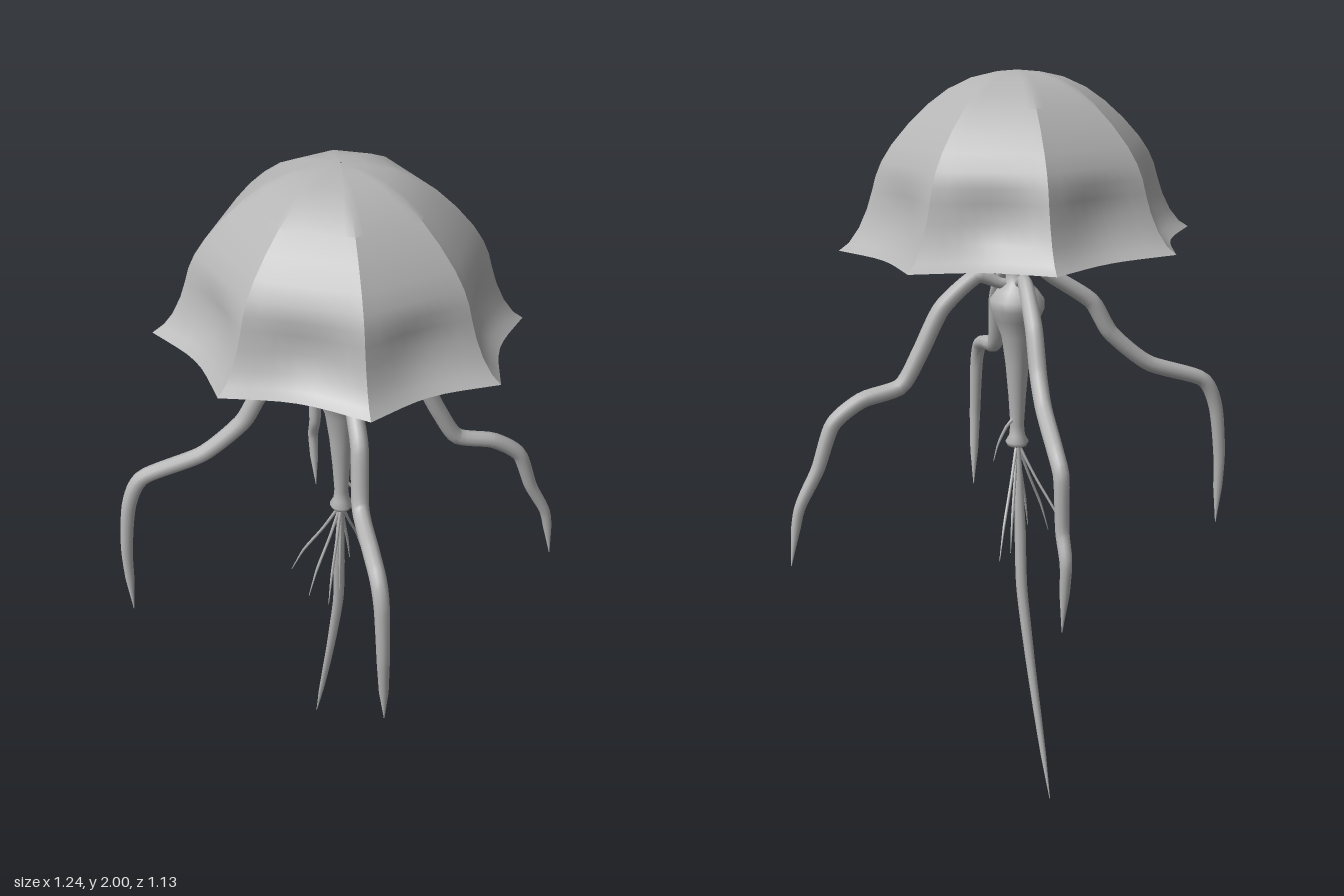
import * as THREE from 'three';
import { toCreasedNormals } from 'three/addons/utils/BufferGeometryUtils.js';

const CX = -0.02; // bell axis
const grey = new THREE.MeshStandardMaterial({ color: 0xb4b4b4 });
grey.name = 'grey';

// Eight-ribbed surface from rows of [rib radius, height, inward scallop]
function ribbedGeometry(rows, steps = 8) {
  const n = 8 * steps, pos = [], idx = [];
  rows.forEach(([r, y, scallop]) => {
    for (let j = 0; j < n; j++) {
      const a = (j / n) * Math.PI * 2, t = (j % steps) / steps;
      const chord = r * Math.cos(Math.PI / 8) / Math.cos((t - 0.5) * Math.PI / 4);
      const rad = chord - scallop * Math.sin(Math.PI * t);
      const x = Math.cos(a) * rad, z = Math.sin(a) * rad;
      const tilt = (2 - y) / 0.43;
      pos.push(CX + x, y + (0.035 * z - 0.038 * x) * tilt, z);
    }
  });
  for (let i = 0; i < rows.length - 1; i++) {
    for (let j = 0; j < n; j++) {
      const a = i * n + j, c = i * n + (j + 1) % n, b = a + n, d = c + n;
      idx.push(a, c, b, c, d, b);
    }
  }
  const g = new THREE.BufferGeometry();
  g.setAttribute('position', new THREE.Float32BufferAttribute(pos, 3));
  g.setIndex(idx);
  return toCreasedNormals(g, 0.5);
}

// Tube along points whose radius follows evenly spaced values
function taperedTube(points, radii, segments, sides) {
  const path = new THREE.CatmullRomCurve3(points.map(p => new THREE.Vector3(...p)), false, 'catmullrom', 0.35);
  const g = new THREE.TubeGeometry(path, segments, 1, sides);
  const pos = g.attributes.position, v = new THREE.Vector3();
  for (let i = 0; i <= segments; i++) {
    const t = i / segments, centre = path.getPointAt(t);
    const f = t * (radii.length - 1), k = Math.min(Math.floor(f), radii.length - 2);
    const r = THREE.MathUtils.lerp(radii[k], radii[k + 1], f - k);
    for (let j = 0; j <= sides; j++) {
      const q = i * (sides + 1) + j;
      v.fromBufferAttribute(pos, q).sub(centre).multiplyScalar(r).add(centre);
      pos.setXYZ(q, v.x, v.y, v.z);
    }
  }
  return g;
}

export function createModel() {
  const model = new THREE.Group();
  const add = (name, geometry) => {
    const mesh = new THREE.Mesh(geometry, grey);
    mesh.name = name;
    model.add(mesh);
    return mesh;
  };

  // Domed bell with a flared, scalloped skirt and an inner wall
  add('bell', ribbedGeometry([
    [0.002, 2, 0], [0.06, 1.995, 0], [0.12, 1.982, 0], [0.18, 1.955, 0], [0.23, 1.92, 0],
    [0.28, 1.875, 0], [0.325, 1.825, 0], [0.352, 1.785, 0], [0.368, 1.75, 0.004],
    [0.378, 1.715, 0.016], [0.393, 1.67, 0.026], [0.415, 1.625, 0.03], [0.442, 1.59, 0.03],
    [0.468, 1.572, 0.03], [0.455, 1.573, 0.03], [0.41, 1.605, 0.025], [0.365, 1.64, 0.015], [0.31, 1.66, 0],
  ]));

  // Underside of the bell, drawn down into the stalk
  add('bellUnderside', ribbedGeometry([
    [0.312, 1.66, 0], [0.295, 1.635, 0], [0.2, 1.622, -0.008], [0.14, 1.605, -0.01], [0.09, 1.57, -0.006],
    [0.06, 1.545, -0.004], [0.035, 1.525, -0.002], [0.028, 1.5, -0.002],
  ]));

  // Stalk with a bulb, a slim neck and a small flared mouth
  const stalk = [
    [0, 0.995], [0.026, 1.0], [0.032, 1.012], [0.022, 1.03], [0.019, 1.06], [0.024, 1.14],
    [0.032, 1.23], [0.043, 1.31], [0.06, 1.355], [0.073, 1.385], [0.073, 1.41], [0.055, 1.435],
    [0.034, 1.455], [0.028, 1.48], [0.028, 1.53],
  ].map(p => new THREE.Vector2(...p));
  add('stalk', new THREE.LatheGeometry(stalk, 20)).position.x = CX;

  // Four arms, each bent outward and down
  const arms = {
    rightArm: [[-0.02, 1.53, 0], [-0.12, 1.465, 0], [-0.225, 1.395, 0], [-0.28, 1.305, 0], [-0.39, 1.215, 0],
      [-0.55, 1.16, 0.005], [-0.595, 1.075, 0.01], [-0.615, 0.92, 0.015], [-0.615, 0.72, 0.02]],
    leftArm: [[-0.01, 1.45, 0], [0.03, 1.455, 0], [0.09, 1.475, 0], [0.185, 1.395, -0.01], [0.245, 1.28, -0.015],
      [0.3, 1.19, -0.02], [0.405, 1.16, -0.028], [0.485, 1.1, -0.037], [0.53, 0.98, -0.045],
      [0.585, 0.87, -0.052], [0.613, 0.715, -0.058]],
    frontArm: [[-0.02, 1.455, 0.02], [-0.015, 1.47, 0.09], [-0.015, 1.45, 0.15], [-0.01, 1.37, 0.245],
      [-0.015, 1.22, 0.3], [-0.01, 1.19, 0.43], [-0.005, 1.165, 0.51], [0, 1.1, 0.54],
      [0.005, 0.93, 0.55], [0.015, 0.705, 0.527]],
    backArm: [[-0.02, 1.455, -0.02], [-0.02, 1.475, -0.09], [-0.02, 1.45, -0.135], [-0.02, 1.375, -0.215],
      [-0.02, 1.27, -0.27], [-0.02, 1.2, -0.335], [-0.02, 1.13, -0.47], [-0.025, 1.08, -0.512],
      [-0.027, 0.945, -0.52], [-0.03, 0.865, -0.55], [-0.025, 0.685, -0.538]],
  };
  for (const [name, points] of Object.entries(arms)) {
    add(name, taperedTube(points, [0.012, 0.021, 0.023, 0.023, 0.022, 0.022, 0.021, 0.019, 0.017, 0.013, 0.001], 60, 10));
  }

  // Long trailing tail
  add('tail', taperedTube([
    [-0.02, 1.02, 0], [-0.02, 0.9, -0.025], [-0.02, 0.76, -0.045], [-0.02, 0.6, -0.07],
    [-0.037, 0.39, -0.11], [-0.055, 0.2, -0.155], [-0.075, 0, -0.205],
  ], [0.008, 0.012, 0.016, 0.016, 0.015, 0.013, 0.011, 0.008, 0.001], 40, 8));

  // Fine filaments fanning from the mouth
  const tips = [[-0.155, -0.08], [-0.12, 0.045], [-0.07, 0.09], [0.02, -0.11], [0.06, -0.16], [-0.03, 0.03]];
  for (const [x, z] of tips) {
    const dx = x - CX;
    add('filament', taperedTube([
      [CX, 1.01, 0], [CX + dx * 0.35, 0.91, z * 0.35], [CX + dx * 0.75, 0.81, z * 0.75], [x, 0.725, z],
    ], [0.005, 0.004, 0.004, 0.001], 14, 6));
  }
  add('shortFilament', taperedTube([[CX, 1.09, -0.01], [0.01, 1.06, -0.01], [0.035, 1.01, -0.01], [0.048, 0.96, -0.01]],
    [0.005, 0.004, 0.001], 10, 6));

  return model;
}
